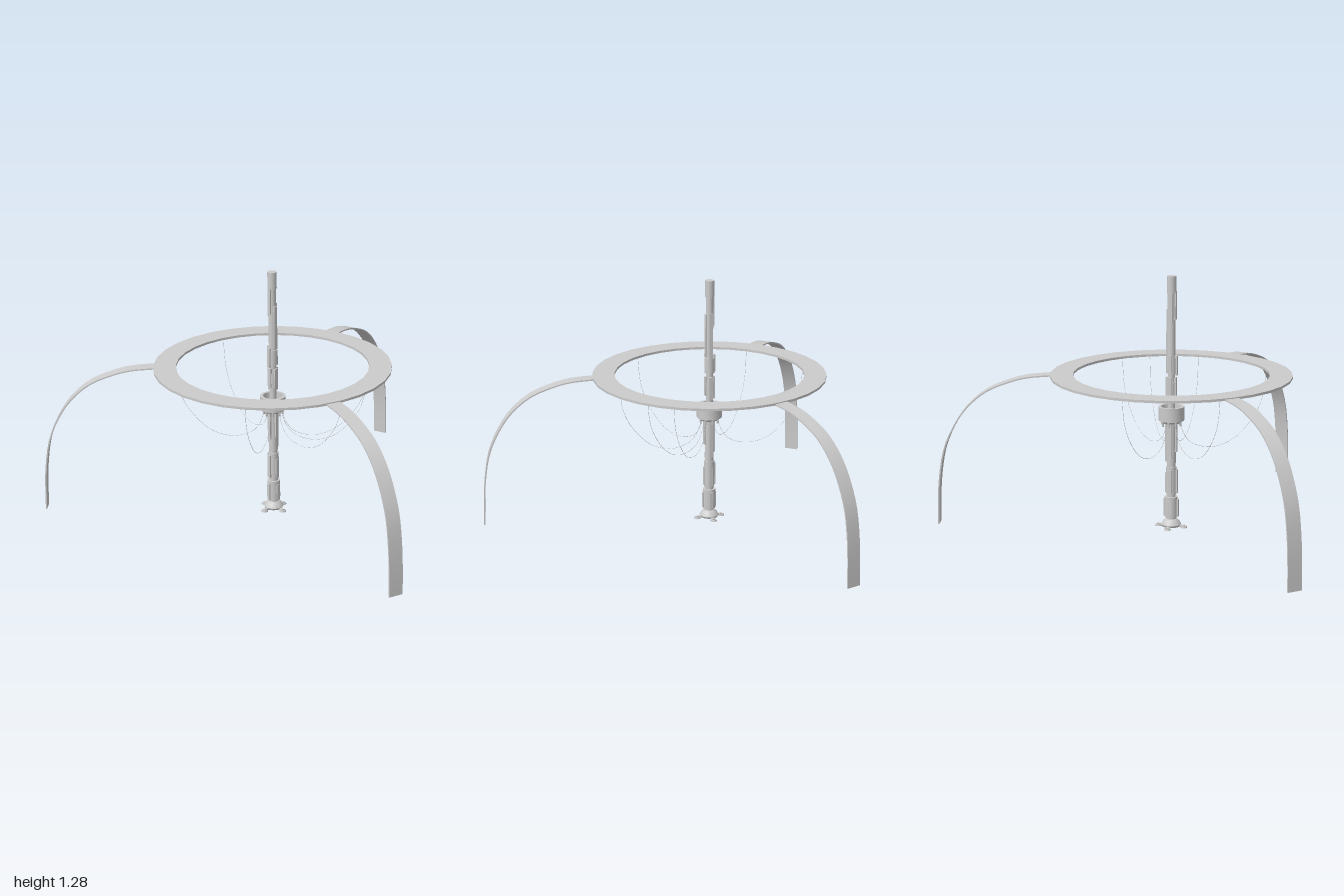
import * as THREE from 'three';
import { toCreasedNormals } from 'three/addons/utils/BufferGeometryUtils.js';

const grey = new THREE.MeshStandardMaterial({ color: 0xcccccc });
const rad = THREE.MathUtils.degToRad;

function add(parent, name, geometry, x = 0, y = 0, z = 0) {
  const mesh = new THREE.Mesh(geometry, grey);
  mesh.name = name;
  mesh.position.set(x, y, z);
  parent.add(mesh);
  return mesh;
}

// cylinder given by its bottom and top heights
function tube(parent, name, y0, y1, r, sides = 20) {
  add(parent, name, new THREE.CylinderGeometry(r, r, y1 - y0, sides), 0, (y0 + y1) / 2, 0);
}

// turned part with sharp edges, profile as [radius, height] pairs
function lathe(profile, sides) {
  const points = profile.map(p => new THREE.Vector2(...p));
  return toCreasedNormals(new THREE.LatheGeometry(points, sides), rad(30));
}

// group turned about the mast so that +x points outwards
function spoke(parent, name, degrees) {
  const g = new THREE.Group();
  g.name = name;
  g.rotation.y = rad(degrees);
  parent.add(g);
  return g;
}

// flat band bent along a curve in the radial plane
function legGeometry() {
  const curve = new THREE.SplineCurve([
    [0.58, 0.779], [0.63, 0.776], [0.71, 0.768], [0.795, 0.747], [0.916, 0.697], [1.017, 0.612],
    [1.088, 0.507], [1.137, 0.388], [1.161, 0.246], [1.169, 0.12], [1.171, 0.01],
  ].map(p => new THREE.Vector2(...p)));
  const n = 30, half = 0.0035, width = 0.074, outer = [], inner = [];
  for (let i = 0; i <= n; i++) {
    const p = curve.getPoint(i / n), t = curve.getTangent(i / n);
    outer.push(new THREE.Vector2(p.x - t.y * half, p.y + t.x * half));
    inner.push(new THREE.Vector2(p.x + t.y * half, p.y - t.x * half));
  }
  const g = new THREE.ExtrudeGeometry(new THREE.Shape([...outer, ...inner.reverse()]),
    { depth: width, bevelEnabled: false });
  return toCreasedNormals(g.translate(0, 0, -width / 2), rad(30));
}

export function createModel() {
  const model = new THREE.Group();
  model.name = 'ringStandWithMast';
  const body = new THREE.Group();
  body.name = 'assembly';
  body.position.set(-0.144, 0, -0.144);
  model.add(body);

  // flat ring
  add(body, 'ring', lathe(
    [[0.487, 0.775], [0.6, 0.775], [0.6, 0.787], [0.487, 0.787], [0.487, 0.775]], 32));

  // three curved legs
  const leg = legGeometry();
  for (const a of [15, 135, 255]) add(spoke(body, 'legMount', a), 'leg', leg);

  // hanging cables from the collar to the ring
  const cablePath = new THREE.CatmullRomCurve3([
    [0.045, 0.56], [0.055, 0.5], [0.1, 0.433], [0.2, 0.403], [0.31, 0.433],
    [0.407, 0.524], [0.465, 0.63], [0.488, 0.78],
  ].map(([r, y]) => new THREE.Vector3(r, y, 0)));
  const cable = new THREE.TubeGeometry(cablePath, 40, 0.0009, 5);
  for (const a of [78, 135, 210, 270, 300, 318]) add(spoke(body, 'cableMount', a), 'cable', cable);

  // stepped central mast
  const mast = new THREE.Group();
  mast.name = 'mast';
  body.add(mast);
  const sections = [
    [0.03, 0.06, 0.024], [0.052, 0.158, 0.033], [0.155, 0.175, 0.022], [0.172, 0.312, 0.027],
    [0.31, 0.335, 0.022], [0.33, 0.6, 0.023], [0.6, 0.675, 0.018], [0.67, 0.745, 0.022],
    [0.745, 0.795, 0.018], [0.79, 0.87, 0.026], [0.87, 1.2, 0.019], [1.19, 1.276, 0.0235],
  ];
  for (const [y0, y1, r] of sections) tube(mast, 'mastSection', y0, y1, r);

  // open collar with its lower lip and cable sockets
  add(mast, 'collar', lathe([[0.02, 0.538], [0.045, 0.538], [0.055, 0.552], [0.065, 0.552],
    [0.065, 0.622], [0.05, 0.622], [0.048, 0.57], [0.02, 0.57]], 28));
  const socket = new THREE.CylinderGeometry(0.007, 0.005, 0.03, 8);
  for (let a = 0; a < 360; a += 45) add(spoke(mast, 'socketMount', a), 'cableSocket', socket, 0.047, 0.537, 0);

  // raised strips on the mast: centre height, length, outer distance from axis, angle
  const strips = [
    [0.1, 0.09, 0.038, 0], [0.1, 0.08, 0.036, 90], [0.1, 0.09, 0.038, 180], [0.1, 0.08, 0.036, 270],
    [0.24, 0.12, 0.034, 180], [0.23, 0.1, 0.03, 0], [0.24, 0.12, 0.033, 90], [0.23, 0.1, 0.03, 270],
    [0.44, 0.2, 0.029, 0], [0.46, 0.14, 0.03, 180], [0.45, 0.18, 0.029, 90], [0.47, 0.13, 0.03, 270],
    [0.71, 0.12, 0.028, 0], [0.72, 0.1, 0.026, 180], [0.71, 0.12, 0.028, 90], [0.72, 0.1, 0.026, 270],
    [0.83, 0.1, 0.031, 180], [0.84, 0.09, 0.03, 90], [0.93, 0.14, 0.025, 0], [0.94, 0.13, 0.025, 270],
    [1.04, 0.14, 0.024, 0], [1.04, 0.12, 0.024, 270], [1.13, 0.14, 0.024, 180], [1.12, 0.16, 0.024, 90],
  ];
  for (const [y, h, r, a] of strips) {
    add(spoke(mast, 'stripMount', a), 'mastStrip', new THREE.BoxGeometry(0.012, h, 0.018), r - 0.006, y, 0);
  }

  // base hub with four foot pads
  add(mast, 'baseHub', lathe([[0, 0.004], [0.045, 0.004], [0.05, 0.014], [0.042, 0.03], [0.028, 0.042], [0, 0.044]], 24));
  for (let a = 0; a < 360; a += 90) {
    const foot = spoke(mast, 'foot', a);
    add(foot, 'footArm', new THREE.BoxGeometry(0.05, 0.007, 0.018), 0.047, 0.0075, 0);
    add(foot, 'footPad', new THREE.CylinderGeometry(0.016, 0.018, 0.007, 14), 0.066, 0.0035, 0);
    add(foot, 'footBolt', new THREE.CylinderGeometry(0.007, 0.007, 0.008, 8), 0.066, 0.009, 0);
  }
  return model;
}
